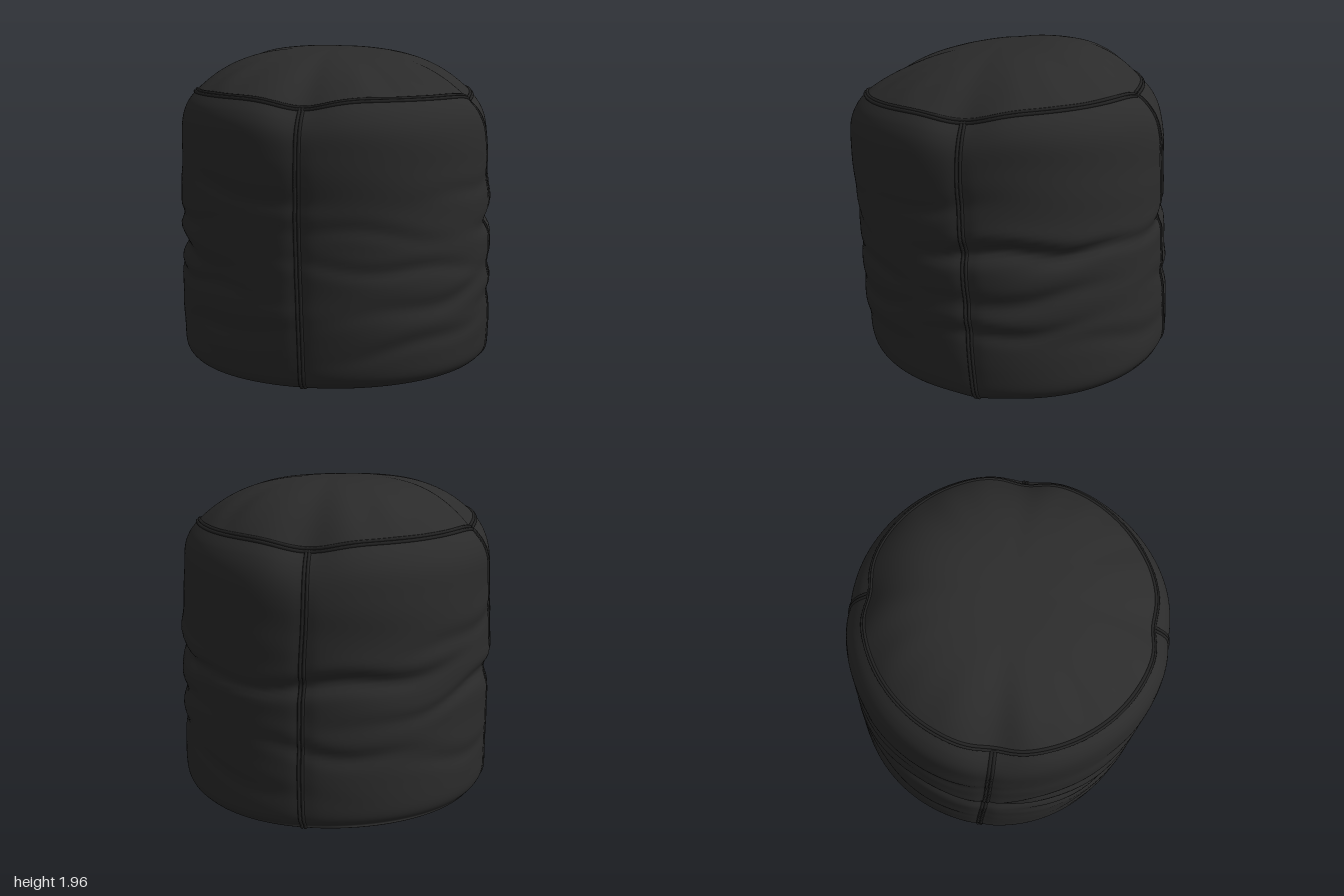
import * as THREE from 'three';

const TAU = Math.PI * 2;
const SEAMS = [-0.345, 1.235, 2.8, -1.925]; // angles of the four side seams, 0 = front, + = left
const bell = (d, w) => Math.exp(-(d * d) / (w * w));
const turn = (a, b) => Math.atan2(Math.sin(a - b), Math.cos(a - b));
const nearSeam = (t, w) => SEAMS.reduce((s, a) => s + bell(turn(t, a), w), 0);
const front = t => Math.max(0, Math.cos(t)) ** 2;
const back = t => Math.max(0, -Math.cos(t)) ** 2;

// Heights and radius of the seam rings around the pouf
const topY = t => 1.693 - 0.032 * Math.cos(t) - 0.05 * nearSeam(t, 0.22);
const topR = t => 0.855 - 0.03 * nearSeam(t, 0.15);
const bottomY = t => 0.03 + 0.06 * back(t) - 0.012 * bell(turn(t, SEAMS[1]), 0.12);

// Side profile: x = share of height, y = radius
const profile = new THREE.SplineCurve([
  [0, 0.825], [0, 0.875], [0.01, 0.925], [0.045, 0.962], [0.12, 0.97], [0.25, 0.972], [0.4, 0.97], [0.55, 0.968],
  [0.7, 0.967], [0.82, 0.965], [0.9, 0.952], [0.955, 0.915], [1, 0.855],
].map(p => new THREE.Vector2(...p)));

// Fabric folds: angle, half width, height, slope, depth, thickness
const FOLDS = [
  [-1.57, 0.55, 0.76, -0.08, 0.042, 0.06], [-1.5, 0.4, 0.92, 0.1, 0.02, 0.04],
  [-1.2, 0.5, 0.6, -0.06, 0.024, 0.04], [-0.75, 0.4, 1.14, -0.12, 0.014, 0.05],
  [-0.9, 0.4, 0.35, 0.1, 0.014, 0.05], [0.1, 0.5, 0.93, -0.1, 0.012, 0.045],
  [0.3, 0.6, 0.72, -0.07, 0.015, 0.04], [0.55, 0.5, 0.52, 0.1, 0.016, 0.05],
  [0.5, 0.45, 0.3, 0.12, 0.016, 0.05], [0.9, 0.4, 1.15, 0.1, 0.012, 0.05],
  [1.5, 0.45, 0.92, 0.02, 0.05, 0.05], [1.65, 0.5, 0.66, 0.08, 0.02, 0.05],
  [1.5, 0.5, 0.46, 0.06, 0.02, 0.045], [2.1, 0.5, 0.9, 0.05, 0.02, 0.035],
  [2.2, 0.6, 0.35, -0.1, 0.014, 0.06], [3.14, 0.6, 0.96, 0.05, 0.035, 0.05],
  [3.05, 0.5, 0.55, -0.08, 0.022, 0.05], [-2.4, 0.6, 0.8, 0.12, 0.02, 0.04],
  [-2.5, 0.5, 0.42, -0.1, 0.014, 0.05], [-2.3, 0.5, 1.15, 0.1, 0.014, 0.05],
];

function sidePoint(t, u) {
  const { x: s, y: base } = profile.getPoint(u);
  const y = THREE.MathUtils.lerp(bottomY(t), topY(t), s);
  const body = Math.sin(Math.PI * THREE.MathUtils.clamp(s, 0, 1)) ** 0.5;
  let r = base + (topR(t) - 0.855) * Math.abs(s) ** 12;
  for (const [a, w, h, slope, depth, thick] of FOLDS) {
    const d = turn(t, a), k = bell(d, w);
    const off = y - h - slope * d - 0.02 * Math.sin(7 * d + h * 9);
    r -= depth * k * (bell(off, thick) - 0.15 * bell(off - 2 * thick, thick));
  }
  r -= body * 0.012 * nearSeam(t, 0.05);
  r += body * 0.004 * Math.sin(5 * t + 9 * y) * Math.sin(14 * y - 2 * t);
  // foot tucked in at the front, bottom seam pushed out at the back
  r += 0.035 * back(t) * bell(s, 0.008) - 0.025 * front(t) * bell(s, 0.15);
  const oval = bell(s - 0.82, 0.16); // slightly oval shoulder
  return new THREE.Vector3(
    r * (1 - 0.02 * oval) * Math.sin(t) + 0.006 - 0.025 * s, y,
    r * (0.995 + 0.012 * oval - 0.01 * s ** 2) * Math.cos(t) - 0.035 + 0.085 * s);
}

// Domed cushion top with small pleats running in from its seam
function topPoint(t, f) {
  const edge = sidePoint(t, 1), z = topR(t) * f * Math.cos(t);
  const pleat = 0.09 * f ** 7 * (1 - f) * (Math.sin(11 * t + 1) + 0.8 * Math.sin(19 * t) * Math.sin(2 * t + 1));
  const y = 1.94 - (1.94 - edge.y) * f ** (3.2 - 0.4 * Math.cos(t)) - 0.11 * z * (1 - f * f) + pleat;
  return new THREE.Vector3(THREE.MathUtils.lerp(-0.018, edge.x, f), y, THREE.MathUtils.lerp(0.05, edge.z, f));
}

// Sagging, crumpled underside
function bottomPoint(t, f) {
  const edge = sidePoint(t, 0);
  const x = edge.x * f, z = THREE.MathUtils.lerp(-0.035, edge.z, f);
  const a = Math.abs(Math.sin(5 * x + 2.2 * Math.sin(4 * z + 1)));
  const b = Math.abs(Math.sin(6 * z - 2.5 * Math.sin(3.5 * x)));
  const y = THREE.MathUtils.lerp(0.03, edge.y, f ** 8) + (1 - f ** 8) * (0.05 * a + 0.04 * b);
  return new THREE.Vector3(x, y, z);
}

// Closed band of fabric; rows run upward along the outside
function skin(point, cols, rows) {
  const pos = [], index = [];
  for (let j = 0; j <= rows; j++)
    for (let i = 0; i < cols; i++) pos.push(...point((i / cols) * TAU, j / rows).toArray());
  for (let j = 0; j < rows; j++)
    for (let i = 0; i < cols; i++) {
      const k = (i + 1) % cols, a = j * cols + i, b = j * cols + k, c = b + cols, d = a + cols;
      index.push(a, b, c, a, c, d);
    }
  const g = new THREE.BufferGeometry();
  g.setAttribute('position', new THREE.Float32BufferAttribute(pos, 3));
  g.setIndex(index);
  g.computeVertexNormals();
  return g;
}

export function createModel() {
  const fabric = new THREE.MeshStandardMaterial({ color: 0x2b2b2b });
  fabric.name = 'black fabric';
  const piping = new THREE.MeshStandardMaterial({ color: 0x222222 });
  piping.name = 'dark seam';

  const group = new THREE.Group();
  group.name = 'pouf';
  const add = (name, geometry, material) => {
    const mesh = new THREE.Mesh(geometry, material);
    mesh.name = name;
    group.add(mesh);
  };
  const cord = (name, n, closed, at, radius = 0.01) => {
    const pts = Array.from({ length: closed ? n : n + 1 }, (_, i) => at(i / n));
    const curve = new THREE.CatmullRomCurve3(pts, closed);
    add(name, new THREE.TubeGeometry(curve, n * 2, radius, 7, closed), piping);
  };

  add('sidePanels', skin(sidePoint, 240, 110), fabric);
  add('topPanel', skin((t, v) => topPoint(t, Math.max(1 - v, 0.001)), 240, 40), fabric);
  add('underside', skin((t, v) => bottomPoint(t, Math.max(v, 0.001)), 160, 50), fabric);

  // Double-stitched seams: one cord on each side of every join
  cord('topSeamOuter', 100, true, v => sidePoint(v * TAU, 0.988));
  cord('topSeamInner', 100, true, v => topPoint(v * TAU, 0.992));
  cord('bottomSeam', 100, true, v => sidePoint(v * TAU, 0), 0.014);
  SEAMS.forEach((a, i) => {
    for (const side of [-1, 1])
      cord(`sideSeam${i + 1}${side < 0 ? 'Right' : 'Left'}`, 60, false, v => {
        const wander = 0.012 * Math.sin(v * 6 + i) + 0.015 * (v - 0.5);
        return sidePoint(a + side * 0.011 + wander * Math.sin(Math.PI * v), v);
      });
  });
  return group;
}
